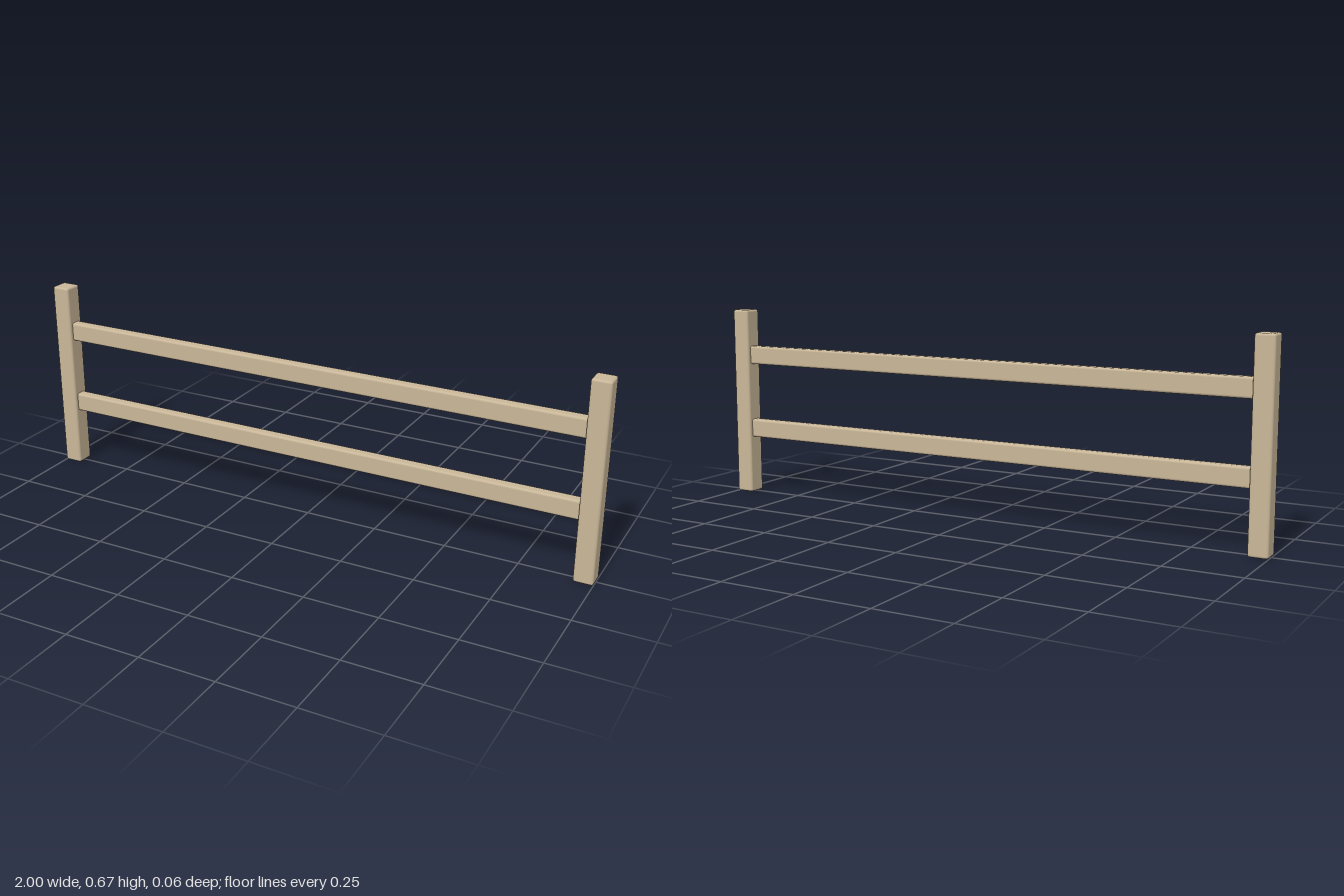
import * as THREE from 'three';
import { RoundedBoxGeometry } from 'three/addons/geometries/RoundedBoxGeometry.js';

const HEIGHT = 0.667, POST = 0.065, RAIL_DEPTH = 0.038;

export function createModel() {
  const fence = new THREE.Group();
  fence.name = 'fence';
  const wood = new THREE.MeshStandardMaterial({ color: 0xc8b698 });
  wood.name = 'pale wood';

  function beam(name, w, h, d, x, y) {
    const mesh = new THREE.Mesh(new RoundedBoxGeometry(w, h, d, 2, 0.008), wood);
    mesh.name = name;
    mesh.position.set(x, y, 0);
    fence.add(mesh);
  }

  // End posts
  for (const [name, side] of [['leftPost', 1], ['rightPost', -1]]) {
    beam(name, POST, HEIGHT, POST, side * (1 - POST / 2), HEIGHT / 2);
  }

  // Horizontal rails, let slightly into the posts
  for (const [name, y] of [['lowerRail', 0.236], ['upperRail', 0.504]]) {
    beam(name, 2 - 2 * POST + 0.03, 0.065, RAIL_DEPTH, 0, y);
  }

  return fence;
}
